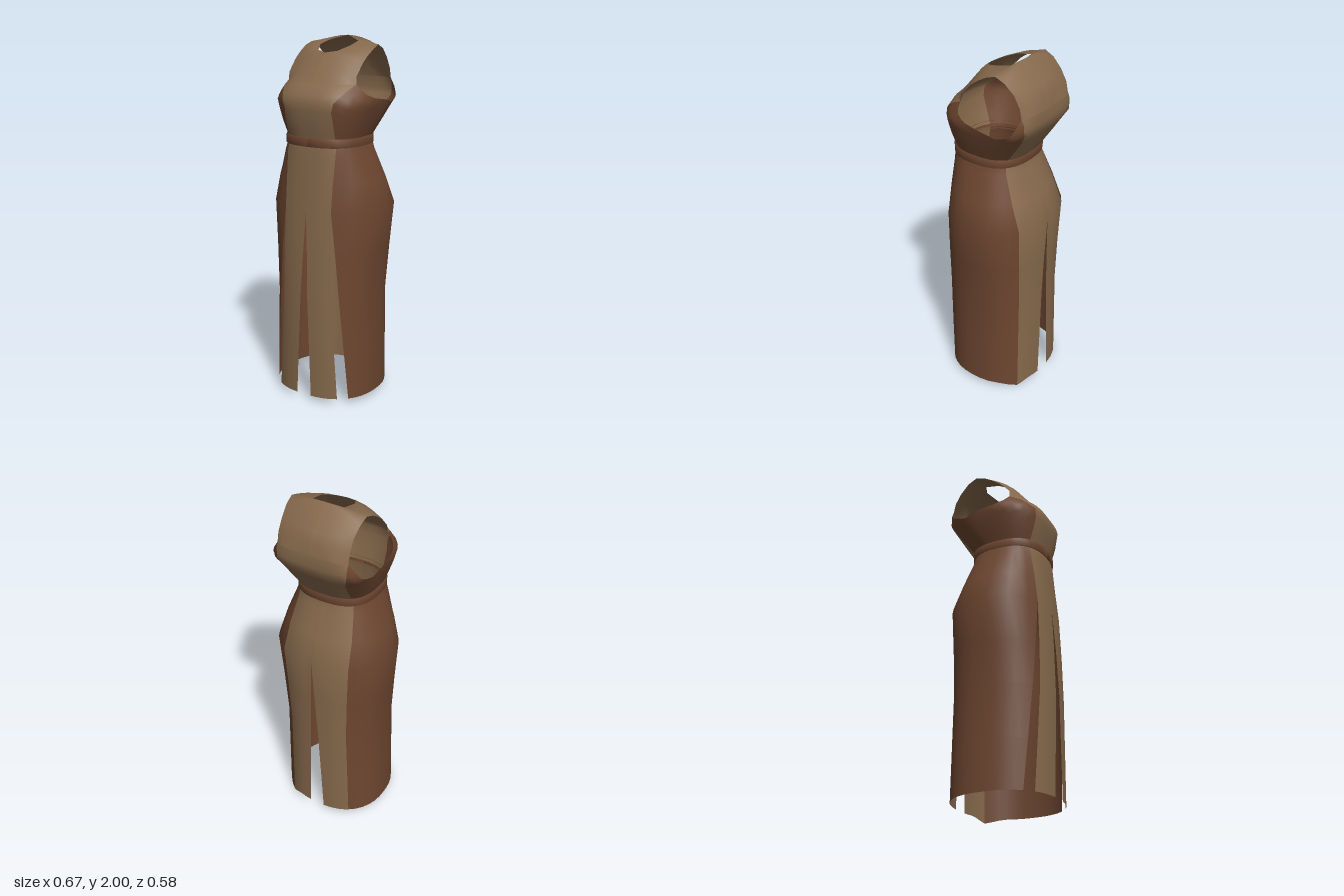
import * as THREE from 'three';

const tan = new THREE.MeshStandardMaterial({ name: 'tanCloth', color: 0x86694c, side: THREE.DoubleSide });
const brown = new THREE.MeshStandardMaterial({ name: 'brownCloth', color: 0x6d4630, side: THREE.DoubleSide });

const lerp = THREE.MathUtils.lerp;

// piecewise-linear lookup: rows are [key, ...values] with rising keys
function look(rows, k, i = 1) {
  if (k <= rows[0][0]) return rows[0][i];
  for (let n = 1; n < rows.length; n++) {
    const a = rows[n - 1], b = rows[n];
    if (k <= b[0]) return lerp(a[i], b[i], (k - a[0]) / (b[0] - a[0]));
  }
  return rows[rows.length - 1][i];
}

// body outline by height: [y, half width, front z, back z, x shift, front roundness, back roundness]
const BODY = [
  [0.00, 0.303, 0.290, -0.280, -0.010, 0.85, 0.85],
  [0.60, 0.290, 0.292, -0.280, -0.003, 0.85, 0.85],
  [0.85, 0.310, 0.282, -0.285, 0, 0.86, 0.87],
  [1.10, 0.335, 0.268, -0.292, 0, 0.87, 0.88],
  [1.25, 0.292, 0.256, -0.240, 0, 0.85, 0.86],
  [1.40, 0.235, 0.247, -0.182, 0, 0.8, 0.8],
  [1.47, 0.212, 0.238, -0.170, 0, 0.8, 0.78],
  [1.58, 0.255, 0.262, -0.235, 0, 0.76, 0.64],
  [1.68, 0.287, 0.272, -0.290, 0, 0.74, 0.48],
  [1.74, 0.268, 0.238, -0.292, 0, 0.8, 0.46],
  [1.77, 0.250, 0.205, -0.288, 0, 0.8, 0.46],
];
const WAIST = 1.47, YOKE_Y = 1.77;

// point on the body; u runs from 0 (front) to PI (back), negative on the other side
function body(u, y, grow = 0) {
  const hw = look(BODY, y) + grow, zf = look(BODY, y, 2) + grow, zb = look(BODY, y, 3) - grow;
  const power = look(BODY, y, Math.cos(u) > 0 ? 5 : 6);
  const bend = (v) => Math.sign(v) * Math.abs(v) ** power;
  return [look(BODY, y, 4) + hw * bend(Math.sin(u)), y, (zf + zb) / 2 + (zf - zb) / 2 * bend(Math.cos(u))];
}

// smooth cloth sheet from rows of points
function sheet(rows, cols, fn, material, name, parent) {
  const pos = [], index = [];
  for (let r = 0; r < rows; r++) {
    for (let c = 0; c <= cols; c++) {
      pos.push(...fn(c / cols, r));
      if (r && c) {
        const d = r * (cols + 1) + c, b = d - cols - 1;
        index.push(b - 1, d - 1, b, b, d - 1, d);
      }
    }
  }
  const g = new THREE.BufferGeometry();
  g.setAttribute('position', new THREE.Float32BufferAttribute(pos, 3));
  g.setIndex(index);
  g.computeVertexNormals();
  const mesh = new THREE.Mesh(g, material);
  mesh.name = name;
  parent.add(mesh);
}

// skirt seams and slits by height
const SKIRT_Y = [1.45, 1.4, 1.25, 1.1, 0.85, 0.6, 0.3, 0.03];
const FRONT_EDGE = [[0.03, 0.63], [1.1, 0.40], [1.25, 0.47], [1.45, 0.68]];
const SIDE_EDGE = [[0.03, 0.87], [0.6, 0.68], [1.1, 0.40], [1.25, 0.47], [1.45, 0.68]];
const BACK_EDGE = [[0.03, 0.63], [1.1, 0.6], [1.45, 0.74]];
const SLIT = [[0.03, 0.11], [0.6, 0.05], [1.1, 0]];

// torso seams and armhole rim
const TORSO_T = [0, 0.18, 0.36, 0.54, 0.7, 0.8, 0.9, 1];
const CHEST_EDGE = [[1.47, 0.67], [1.66, 0.42], [1.69, 0.5], [1.74, 0.77], [1.77, 0.98]];
const BLADE_EDGE = [[1.47, 0.72], [1.58, 0.56], [1.66, 0.47], [1.74, 0.59], [1.77, 0.72]];
const RIM = [[0, 1.77], [0.15, 1.725], [0.4, 1.685], [0.6, 1.655], [0.85, 1.69], [1, 1.77]];

// yoke rows, front to back: [neck half width, inner y, inner z, outer x, outer y, outer z]
const YOKE = [
  null,
  [0, 1.825, 0.158, 0.214, 1.81, 0.110],
  [0, 1.92, 0.082, 0.216, 1.875, 0.050],
  [0.06, 1.93, 0.055, 0.218, 1.912, 0.000],
  [0.095, 1.955, -0.015, 0.220, 1.942, -0.052],
  [0.09, 1.975, -0.105, 0.216, 1.960, -0.105],
  [0, 2.0, -0.145, 0.212, 1.935, -0.16],
  [0, 1.89, -0.25, 0.206, 1.885, -0.212],
  [0, 1.83, -0.275, 0.206, 1.825, -0.246],
  null,
];

export function createModel() {
  const robe = new THREE.Group();
  robe.name = 'sleevelessRobe';
  const skirt = new THREE.Group(), torso = new THREE.Group();
  skirt.name = 'skirt';
  torso.name = 'torso';
  robe.add(skirt, torso);

  for (const side of [1, -1]) {
    const tag = side > 0 ? 'Left' : 'Right';

    // skirt panels, parted by slits below the hip
    sheet(SKIRT_Y.length, 5, (s, r) => {
      const y = SKIRT_Y[r];
      return body(side * lerp(look(SLIT, y), look(FRONT_EDGE, y), s), y);
    }, tan, 'frontPanel' + tag, skirt);
    sheet(SKIRT_Y.length, 10, (s, r) => {
      const y = SKIRT_Y[r], last = r === SKIRT_Y.length - 1;
      const hem = last && side > 0 && s > 0.75 ? 0.03 * (s - 0.75) / 0.25 : 0;
      return body(side * lerp(look(SIDE_EDGE, y), Math.PI - look(BACK_EDGE, y), s), y - hem);
    }, brown, 'sidePanel' + tag, skirt);
    sheet(SKIRT_Y.length, 5, (s, r) => {
      const y = SKIRT_Y[r], last = r === SKIRT_Y.length - 1;
      const hem = last && side > 0 ? 0.03 * Math.max(0, 1 - s * 2) : 0;
      return body(side * (Math.PI - lerp(look(BACK_EDGE, y), look(SLIT, y), s)), y - hem);
    }, tan, 'backPanel' + tag, skirt);

    // torso side below the armhole
    sheet(TORSO_T.length, 12, (s, r) => {
      const t = TORSO_T[r], seamY = lerp(WAIST, YOKE_Y, t);
      const u = lerp(look(CHEST_EDGE, seamY), Math.PI - look(BLADE_EDGE, seamY), s);
      return body(side * u, lerp(WAIST, look(RIM, s), t));
    }, brown, 'torsoSide' + tag, torso);

    // shoulder yoke around the neck hole
    sheet(YOKE.length, 5, (s, r) => {
      if (r === 0) return body(side * look(CHEST_EDGE, YOKE_Y) * s, YOKE_Y);
      if (r === YOKE.length - 1) return body(side * (Math.PI - look(BLADE_EDGE, YOKE_Y) * s), YOKE_Y);
      const [n, y0, z0, x1, y1, z1] = YOKE[r], k = s * s;
      return [side * lerp(n, x1, s), lerp(y0, y1, k), lerp(z0, z1, k)];
    }, tan, 'shoulder' + tag, torso);
  }

  // chest and back of the torso
  sheet(TORSO_T.length, 10, (s, r) => {
    const y = lerp(WAIST, YOKE_Y, TORSO_T[r]);
    return body((s * 2 - 1) * look(CHEST_EDGE, y), y);
  }, tan, 'chest', torso);
  sheet(TORSO_T.length, 10, (s, r) => {
    const y = lerp(WAIST, YOKE_Y, TORSO_T[r]);
    return body(Math.PI + (s * 2 - 1) * look(BLADE_EDGE, y), y);
  }, tan, 'upperBack', torso);

  // belt: band with turned-in edges
  const BELT = [[1.44, 0], [1.442, 0.012], [1.487, 0.012], [1.49, 0]];
  sheet(BELT.length, 28, (s, r) => {
    const p = body(s * Math.PI * 2, 1.465, BELT[r][1]);
    return [p[0], BELT[r][0], p[2]];
  }, brown, 'belt', robe);

  return robe;
}
